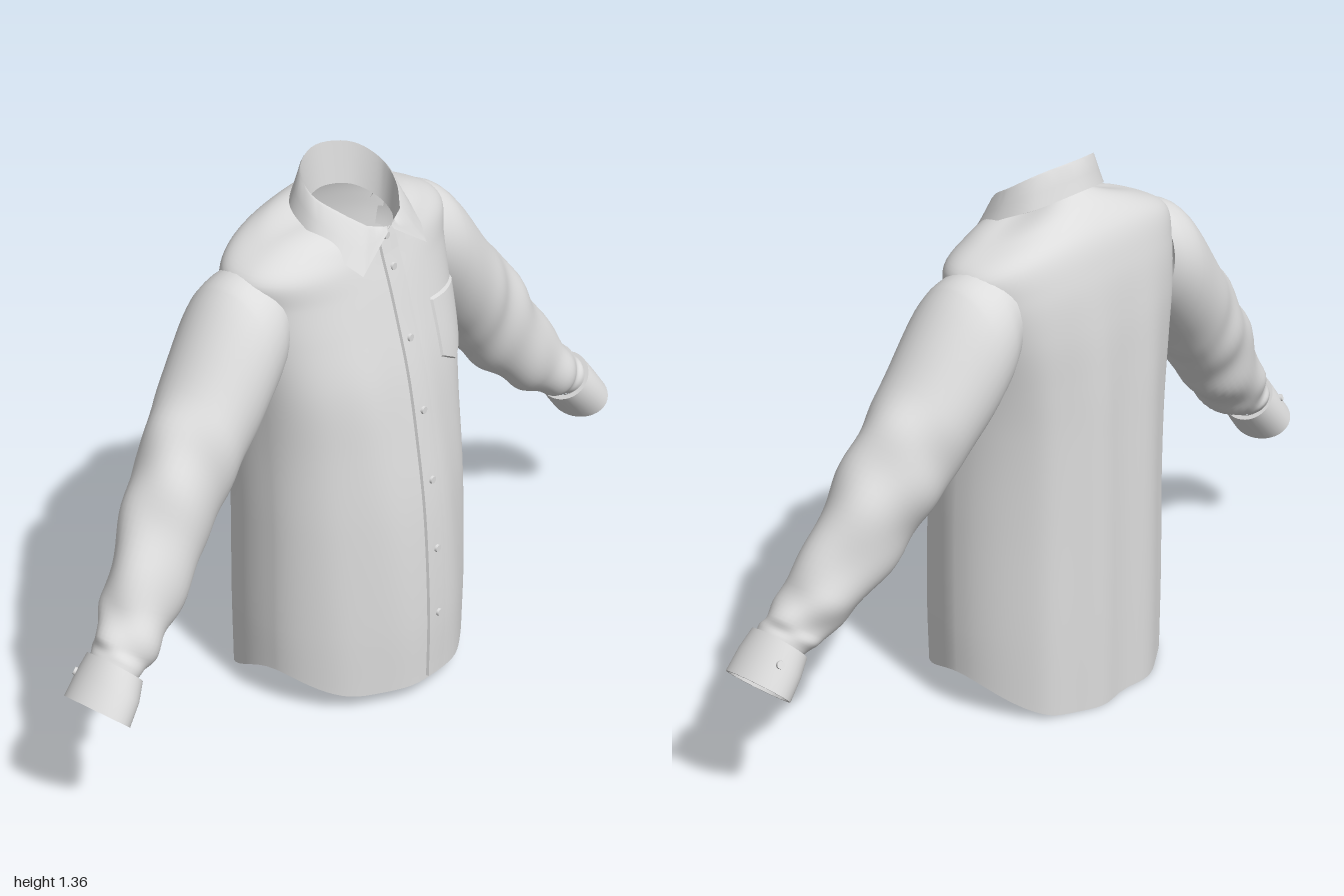
import * as THREE from 'three';
import { toCreasedNormals } from 'three/addons/utils/BufferGeometryUtils.js';

const V = (x, y, z) => new THREE.Vector3(x, y, z);
const smooth = THREE.MathUtils.smoothstep;

export function createModel() {
  const model = new THREE.Group();
  const cloth = new THREE.MeshStandardMaterial({ color: 0xdcdcdc, side: THREE.DoubleSide });
  cloth.name = 'cloth';

  function add(name, geometry, parent = model) {
    const mesh = new THREE.Mesh(geometry, cloth);
    mesh.name = name;
    parent.add(mesh);
    return mesh;
  }

  // Skin a grid of points, rows of equal length; cells inside a hole are left out
  function skin(rows, closed, inHole = () => false) {
    const n = rows[0].length, index = [], points = rows.flat();
    for (let i = 0; i < rows.length - 1; i++) {
      for (let j = 0; j < (closed ? n : n - 1); j++) {
        const k = (j + 1) % n, a = i * n + j, b = i * n + k;
        if (inHole(points[a]) && inHole(points[b + n])) continue;
        index.push(a, a + n, b, b, a + n, b + n);
      }
    }
    const g = new THREE.BufferGeometry().setFromPoints(points);
    g.setIndex(index);
    g.computeVertexNormals();
    return g;
  }

  // Smooth extra rows between the given cross-sections
  function refine(rings, steps) {
    const cols = rings[0].map((_, j) =>
      new THREE.CatmullRomCurve3(rings.map(r => r[j]), false, 'centripetal').getPoints(steps * (rings.length - 1)));
    return cols[0].map((_, i) => cols.map(c => c[i]));
  }

  // ---- Torso: half width, side z, front z, back z, side y, front y, back y, front and back squareness
  const sections = [
    [0.311, 0, 0.265, -0.264, 0, 0, 0, 1.8, 2.5],
    [0.313, 0, 0.266, -0.264, 0.22, 0.22, 0.22, 1.8, 2.5],
    [0.310, 0, 0.248, -0.262, 0.5, 0.5, 0.5, 1.85, 2.5],
    [0.308, -0.01, 0.218, -0.259, 0.7, 0.7, 0.7, 2, 2.6],
    [0.315, -0.02, 0.187, -0.256, 0.86, 0.86, 0.86, 2.2, 2.7],
    [0.326, -0.04, 0.152, -0.25, 0.99, 0.99, 1.0, 2.2, 2.7],
    [0.338, -0.06, 0.126, -0.235, 1.08, 1.08, 1.12, 2.2, 2.5],
    [0.345, -0.06, 0.108, -0.21, 1.15, 1.135, 1.2, 2.2, 2.3],
    [0.250, -0.05, 0.099, -0.168, 1.206, 1.165, 1.25, 2.2, 2.1],
    [0.122, -0.02, 0.09, -0.118, 1.235, 1.2, 1.285, 2.2, 2],
  ];
  const around = 96;
  const torsoRings = sections.map(([w, zs, zf, zb, ys, yf, yb, nf, nb], level) =>
    Array.from({ length: around }, (_, j) => {
      const t = (j / around) * Math.PI * 2, c = Math.cos(t), s = Math.sin(t);
      const front = s >= 0, n = front ? nf : nb;
      const x = Math.sign(c) * w * Math.abs(c) ** (2 / n);
      const z = zs + ((front ? zf : zb) - zs) * Math.abs(s) ** (2 / n);
      let y = ys + ((front ? yf : yb) - ys) * s * s;
      // Curved shirt-tail hem, longer at the back
      if (level === 0) y = 0.1 - (front ? 0.06 * smooth(z, 0, 0.2) : 0.1 * smooth(-z, 0, 0.26));
      return V(x, y, z);
    }));
  const torsoRows = refine(torsoRings, 8);
  for (const p of torsoRows.flat()) {
    // Soft hanging folds, and a back that narrows on the left
    const fade = 1 - smooth(p.y, 0.75, 1.15);
    const back = smooth(-p.z, 0.12, 0.24), front = smooth(p.z, 0.08, 0.18);
    p.z += fade * (back * 0.006 * Math.cos(p.x * 34 + 0.6) - front * 0.003 * Math.cos(p.x * 36 + p.y * 3));
    if (p.x > 0) p.x *= 1 - 0.08 * fade * smooth(-p.z, 0, 0.2);
  }
  // Armholes open inside the sleeve heads
  const inArmhole = p => Math.abs(p.x) > 0.29
    && ((p.y - 1.015) / 0.125) ** 2 + ((p.z + 0.07) / 0.105) ** 2 < 1;
  const torso = add('torso', skin(torsoRows, true, inArmhole));

  // Depth of the shirt front under a point
  const ray = new THREE.Raycaster();
  function frontZ(x, y) {
    ray.set(V(x, y, 1), V(0, 0, -1));
    const hit = ray.intersectObject(torso)[0];
    return hit ? hit.point.z : 0.09;
  }

  // Thin patch lying on the shirt front; place(u, v) gives [x, y]
  function drape(name, nu, nv, place, lift) {
    const marks = n => [0, 0.03, ...Array.from({ length: n - 1 }, (_, i) => (i + 1) / n), 0.97, 1];
    const rows = marks(nv).map(v => marks(nu).map(u => {
      const [x, y] = place(1 - u, v);
      return V(x, y, frontZ(x, y) + lift(1 - u, v));
    }));
    return add(name, toCreasedNormals(skin(rows, false), 0.6));
  }
  const rim = u => Math.min(1, Math.min(u, 1 - u) / 0.03);

  // ---- Button placket, raised along its overlapping edge
  drape('placket', 4, 40,
    (u, v) => [-0.032 - 0.012 * (1 - v) + u * 0.066, 0.05 + v * 1.13],
    u => 0.001 + 0.007 * Math.min(1, u / 0.03) * (1 - 0.8 * u));

  // ---- Chest pocket with a pointed bottom
  drape('chestPocket', 8, 8, (u, v) => {
    const top = [0.107 + 0.155 * u, 0.995 - 0.015 * u];
    const low = [0.108 + 0.135 * u, u < 0.5 ? 0.85 - 0.074 * u : 0.813 + 0.054 * (u - 0.5)];
    return [low[0] + (top[0] - low[0]) * v, low[1] + (top[1] - low[1]) * v];
  }, (u, v) => 0.001 + 0.006 * rim(u) * rim(v));

  // ---- Front buttons
  const buttonShape = new THREE.CylinderGeometry(0.009, 0.01, 0.006, 14).rotateX(Math.PI / 2);
  for (const y of [1.188, 1.115, 0.945, 0.765, 0.585, 0.4, 0.22]) {
    add('frontButton', buttonShape).position.set(-0.006, y, frontZ(-0.006, y) + 0.008);
  }

  // ---- Collar: stand foot, fold line and leaf edge, from the front round to the back
  const collarHalf = [
    [[0.004, 1.18, 0.086], [0.008, 1.21, 0.102], [0.012, 1.2, 0.109]],
    [[0.06, 1.18, 0.07], [0.062, 1.228, 0.087], [0.12, 1.13, 0.122]],
    [[0.1, 1.19, 0.033], [0.106, 1.265, 0.042], [0.154, 1.178, 0.066]],
    [[0.114, 1.21, -0.02], [0.13, 1.3, -0.02], [0.162, 1.226, -0.01]],
    [[0.088, 1.235, -0.076], [0.1, 1.337, -0.08], [0.128, 1.26, -0.09]],
    [[0, 1.25, -0.102], [0, 1.355, -0.115], [0, 1.286, -0.138]],
  ];
  const stations = [
    ...collarHalf,
    ...collarHalf.slice(0, -1).reverse().map(col => col.map(([x, y, z]) => [-x, y, z])),
  ].map(col => col.map(p => V(...p)));
  // Keep the leaf points sharp by running straight from the front edge to each tip
  const last = stations.length - 1, steps = 6;
  const bent = refine(stations.slice(1, last), steps);
  const straight = (a, b) => Array.from({ length: steps }, (_, i) =>
    a.map((p, k) => p.clone().lerp(b[k], i / steps)));
  const collarLines = [...straight(stations[0], stations[1]), ...bent,
    ...straight(stations[last], stations[last - 1]).reverse()];
  const collarRows = collarLines.map(([foot, fold, edge]) => {
    const outer = fold.clone().lerp(edge, 0.12);
    outer.y += 0.004;
    return [edge, fold.clone().lerp(edge, 0.55), outer, fold, foot.clone().lerp(fold, 0.9), foot];
  });
  add('collar', toCreasedNormals(skin(collarRows, false), 1.1));

  // ---- Sleeves: top x, y, bottom x, y, centre z, half depth
  const sleeveSections = [
    [0.285, 1.172, 0.275, 0.9, -0.074, 0.115],
    [0.33, 1.163, 0.305, 0.865, -0.074, 0.13],
    [0.39, 1.138, 0.352, 0.81, -0.072, 0.137],
    [0.545, 0.957, 0.43, 0.72, -0.062, 0.124],
    [0.645, 0.85, 0.5, 0.64, -0.053, 0.108],
    [0.74, 0.72, 0.58, 0.552, -0.037, 0.097],
    [0.84, 0.565, 0.69, 0.462, -0.014, 0.085],
    [0.897, 0.492, 0.786, 0.402, 0.006, 0.072],
    [0.925, 0.457, 0.848, 0.38, 0.014, 0.063],
  ];
  // Elliptical ring between a top and a bottom point, shrunk by inset
  function ring(side, [tx, ty, bx, by, zc, rz], inset = 0, count = 36) {
    const half = Math.hypot(tx - bx, ty - by) / 2, k = (half - inset) / half;
    return Array.from({ length: count }, (_, j) => {
      const a = (j / count) * Math.PI * 2, c = Math.cos(a) * k * 0.5;
      return V(side * ((tx + bx) / 2 + (tx - bx) * c), (ty + by) / 2 + (ty - by) * c,
        zc - side * (rz - inset) * Math.sin(a));
    });
  }
  const cuffStart = [0.932, 0.468, 0.838, 0.368, 0.015, 0.072];
  const cuffMiddle = [0.962, 0.428, 0.868, 0.332, 0.018, 0.085];
  const cuffEnd = [1.0, 0.38, 0.907, 0.289, 0.019, 0.09];

  for (const side of [1, -1]) {
    const label = side > 0 ? 'left' : 'right';
    const rows = refine(sleeveSections.map(s => ring(side, s)), 8);
    rows.forEach((row, i) => {
      // Slanted creases, strongest between elbow and wrist
      const t = i / (rows.length - 1);
      const amp = 0.006 * smooth(t, 0.25, 0.55) * (1 - smooth(t, 0.9, 1));
      const centre = row.reduce((sum, p) => sum.add(p), V(0, 0, 0)).divideScalar(row.length);
      row.forEach((p, j) => {
        const a = -side * (j / row.length) * Math.PI * 2;
        const crease = Math.sin(t * 44 + 2.5 * Math.sin(a + 0.5)) * 0.5 + Math.sin(t * 30 - 3 * a) * 0.6;
        p.addScaledVector(p.clone().sub(centre).normalize(), amp * crease);
      });
    });
    add(label + 'Sleeve', skin(rows, true));

    // Flared cuff band with a turned edge
    const cuff = new THREE.Group();
    cuff.name = label + 'Cuff';
    model.add(cuff);
    const band = [ring(side, cuffStart, 0.012), ring(side, cuffStart), ring(side, cuffMiddle),
      ring(side, cuffEnd), ring(side, cuffEnd, 0.008), ring(side, cuffStart, 0.014)];
    add(label + 'CuffBand', toCreasedNormals(skin(band, true), 0.7), cuff);

    // Cuff button on the outer back
    const mid = band[2][side > 0 ? 5 : 31];
    const axis = V(side * 0.915, 0.38, 0.018);
    const out = mid.clone().sub(axis).normalize();
    const button = add('cuffButton', buttonShape, cuff);
    button.position.copy(mid).addScaledVector(out, 0.003);
    button.quaternion.setFromUnitVectors(V(0, 0, 1), out);
  }
  return model;
}
